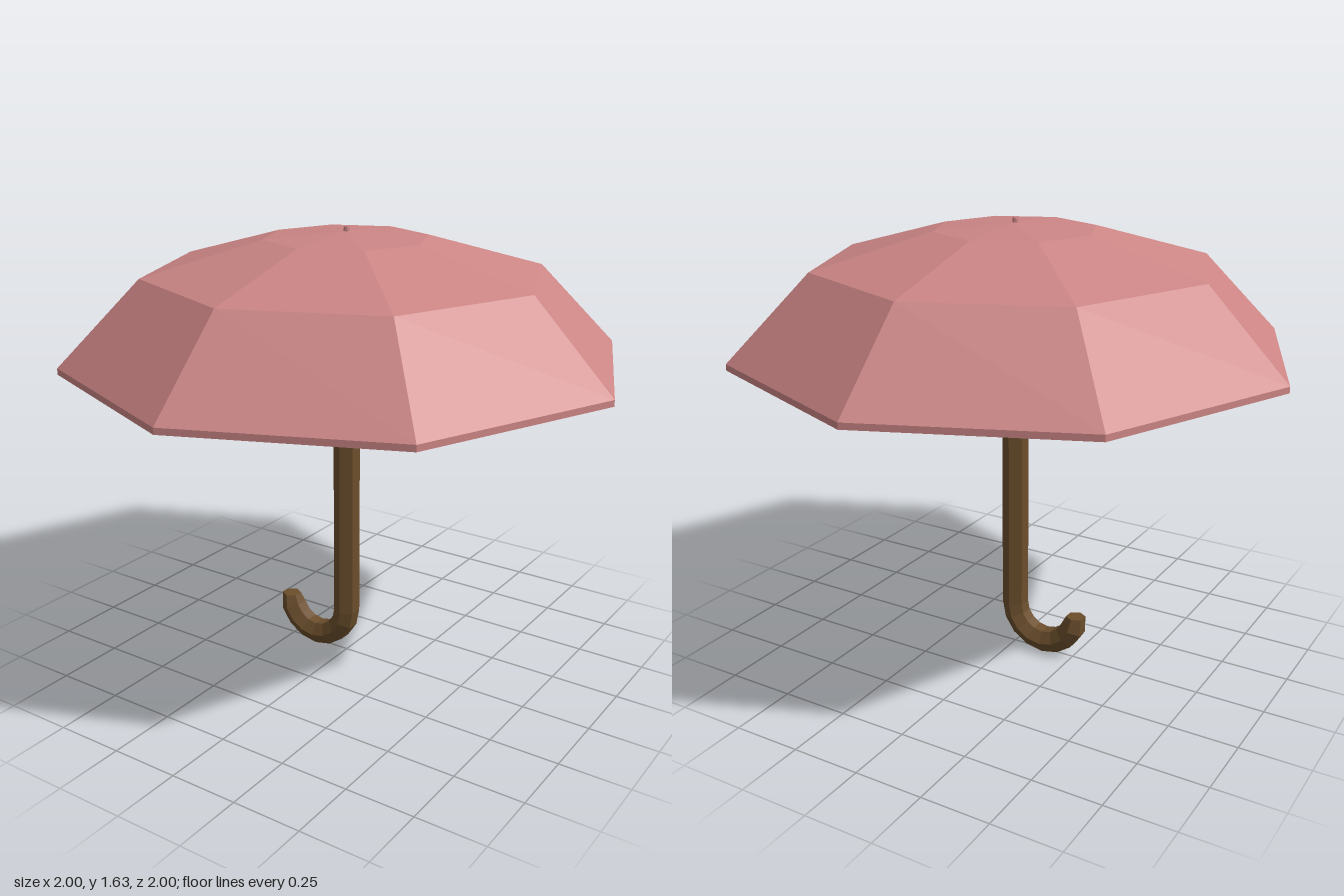
import * as THREE from 'three';

const fabric = new THREE.MeshStandardMaterial({ color: 0xcc8585, flatShading: true });
const wood = new THREE.MeshStandardMaterial({ color: 0x6b4e2c, flatShading: true });

function addPart(group, name, geometry, material) {
  const flat = geometry.index ? geometry.toNonIndexed() : geometry;
  flat.computeVertexNormals();
  const mesh = new THREE.Mesh(flat, material);
  mesh.name = name;
  group.add(mesh);
  return mesh;
}

// Six-sided rod swept along the straight shaft and round the hook
function rodGeometry() {
  const sides = 6, radius = 0.048, bend = 0.13, bendY = 0.17, steps = 8;
  const rings = [{ x: 0, y: 1.44, a: 0, s: 1 }];
  for (let i = 0; i <= steps; i++) {
    const a = (i / steps) * Math.PI;
    rings.push({
      x: -bend + bend * Math.cos(a),
      y: bendY - bend * Math.sin(a),
      a,
      s: i === steps ? 0.75 : 1, // tapered end of the handle
    });
  }
  const positions = [], index = [];
  for (const { x, y, a, s } of rings) {
    for (let j = 0; j < sides; j++) {
      const b = ((j + 0.5) / sides) * Math.PI * 2;
      const u = radius * s * Math.cos(b);
      positions.push(x + u * Math.cos(a), y - u * Math.sin(a), radius * s * Math.sin(b));
    }
  }
  for (let i = 0; i < rings.length - 1; i++) {
    for (let j = 0; j < sides; j++) {
      const k = (j + 1) % sides, p = i * sides, q = p + sides;
      index.push(p + j, p + k, q + k, p + j, q + k, q + j);
    }
  }
  // End caps
  const last = (rings.length - 1) * sides;
  for (let j = 1; j < sides - 1; j++) {
    index.push(0, j + 1, j, last, last + j, last + j + 1);
  }
  const geometry = new THREE.BufferGeometry();
  geometry.setAttribute('position', new THREE.Float32BufferAttribute(positions, 3));
  geometry.setIndex(index);
  return geometry;
}

export function createModel() {
  const group = new THREE.Group();
  group.name = 'umbrella';

  // Eight-panel canopy: inner skin down to the rim, then outer skin up to the apex
  const skin = [[0, 1.61], [0.29, 1.588], [0.71, 1.47], [1, 1.175]];
  const thickness = 0.022;
  const profile = [
    ...skin.map(([r, y]) => new THREE.Vector2(r, y - thickness)),
    ...skin.slice().reverse().map(([r, y]) => new THREE.Vector2(r, y)),
  ];
  addPart(group, 'canopy', new THREE.LatheGeometry(profile, 8), fabric);

  // Small tip through the apex
  const tip = addPart(group, 'tip', new THREE.CylinderGeometry(0.01, 0.014, 0.044, 8), fabric);
  tip.position.y = 1.603;

  addPart(group, 'shaftAndHandle', rodGeometry(), wood);
  return group;
}
